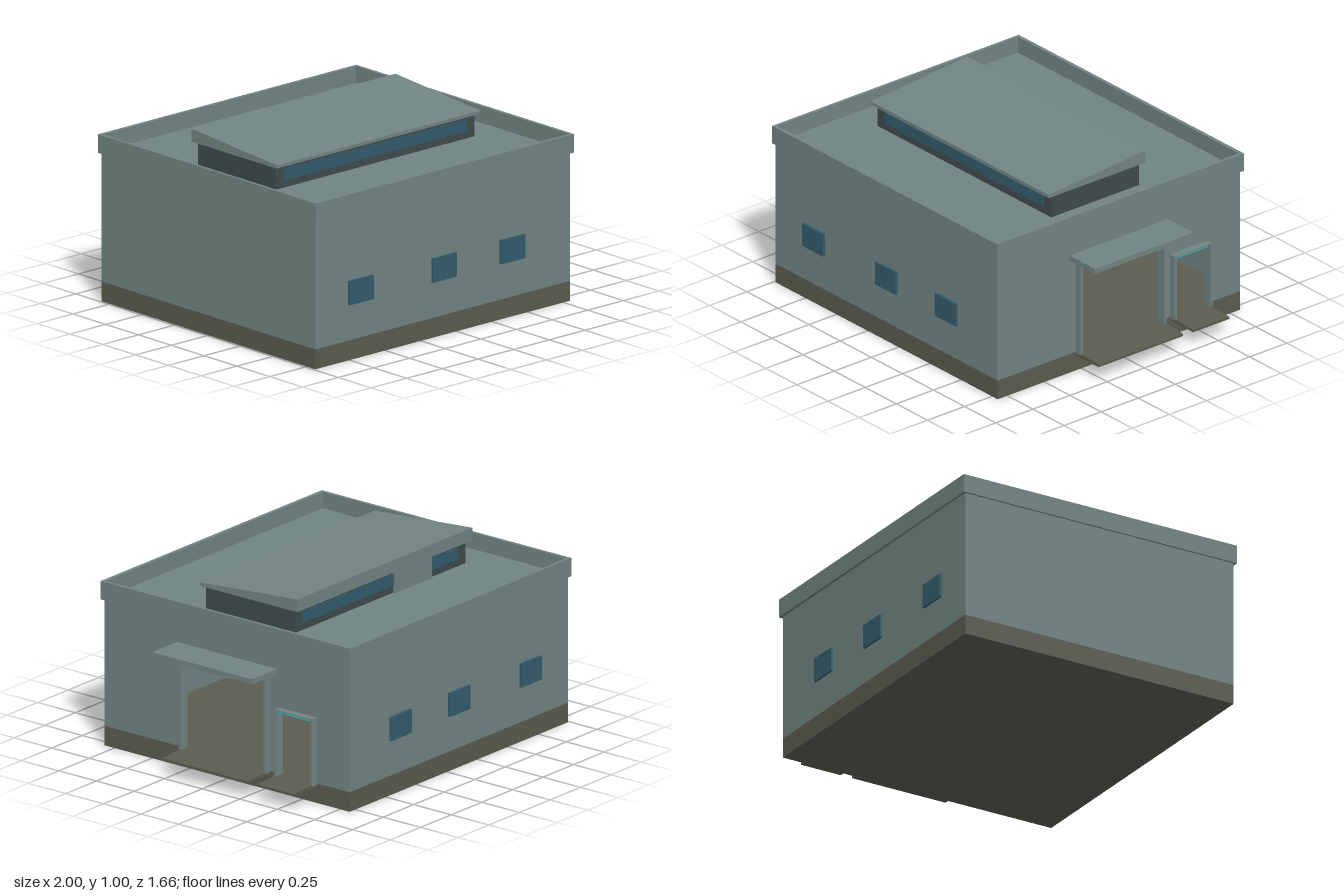
import * as THREE from 'three';

const mat = (name, color, side = THREE.FrontSide) => {
  const m = new THREE.MeshStandardMaterial({ color, side });
  m.name = name;
  return m;
};

export function createModel() {
  const model = new THREE.Group();
  model.name = 'building';
  const wallGrey = mat('wallGrey', 0x718482);
  const baseBrown = mat('baseBrown', 0x5c5b50);
  const darkGrey = mat('darkGrey', 0x3f4b4c);
  const glassBlue = mat('glassBlue', 0x335c6d);
  const lampCyan = mat('lampCyan', 0x3fb2ba);

  const add = (name, geometry, material) => {
    const mesh = new THREE.Mesh(geometry, material);
    mesh.name = name;
    model.add(mesh);
    return mesh;
  };
  // Box given by its minimum and maximum on each axis
  const box = (name, material, x0, x1, y0, y1, z0, z1) => {
    const g = new THREE.BoxGeometry(x1 - x0, y1 - y0, z1 - z0);
    g.translate((x0 + x1) / 2, (y0 + y1) / 2, (z0 + z1) / 2);
    return add(name, g, material);
  };
  const points = (list) => list.map(([a, b]) => new THREE.Vector2(a, b));
  const rect = (a0, a1, b0, b1) => points([[a0, b0], [a1, b0], [a1, b1], [a0, b1]]);
  const extrude = (outline, holes, depth) => {
    const shape = new THREE.Shape(outline);
    holes.forEach((h) => shape.holes.push(new THREE.Path(h)));
    return new THREE.ExtrudeGeometry(shape, { depth, bevelEnabled: false });
  };
  // Outline in (-z, y), thickened along +x from x0
  const sideExtrude = (outline, holes, x0, depth) =>
    extrude(outline, holes, depth).rotateY(Math.PI / 2).translate(x0, 0, 0);

  // Plinth, whose top is also the floor
  const X0 = -0.99, X1 = 0.795, Z = 0.815, FLOOR = 0.107, T = 0.015;
  box('plinth', baseBrown, X0, X1, 0, FLOOR, -Z, Z);

  // Walls
  box('frontWall', wallGrey, X0, X1, FLOOR, 0.8, Z - T, Z);
  box('backWall', wallGrey, X0, X1, FLOOR, 0.8, -Z, -Z + T);
  box('leftWall', wallGrey, X0, X0 + T, FLOOR, 0.8, -Z + T, Z - T);

  // Doorways: inner edges in -z, header underside, overall top
  const doors = [
    { name: 'largeDoor', a0: -0.275, a1: 0.273, head: 0.61, top: 0.628 },
    { name: 'smallDoor', a0: 0.36, a1: 0.583, head: 0.45, top: 0.467 },
  ];
  const wallOutline = [[-Z + T, FLOOR]];
  for (const d of doors) {
    wallOutline.push([d.a0, FLOOR], [d.a0, d.head], [d.a1, d.head], [d.a1, FLOOR]);
  }
  wallOutline.push([Z - T, FLOOR], [Z - T, 0.8], [-Z + T, 0.8]);
  add('doorWall', sideExtrude(points(wallOutline), [], X1 - T, T), wallGrey);

  for (const d of doors) {
    const j = 0.015, y = 0.1;
    // Door surround
    add(d.name + 'Frame', sideExtrude(points([
      [d.a0 - j, y], [d.a0, y], [d.a0, d.head + 0.012], [d.a1, d.head + 0.012],
      [d.a1, y], [d.a1 + j, y], [d.a1 + j, d.top], [d.a0 - j, d.top],
    ]), [], X1, 0.04), wallGrey);
    // Lamp below the header
    box(d.name + 'Lamp', lampCyan, X1 + 0.003, X1 + 0.034, d.head, d.head + 0.012,
      -d.a1 + 0.01, -d.a0 - 0.01);
    // Sloping threshold ramp
    const ramp = extrude(points([[X1, 0.085], [0.975, 0.085], [0.975, 0.097], [X1, 0.108]]),
      [], d.a1 - d.a0 + 0.02);
    ramp.translate(0, 0, -d.a1 - 0.01);
    add(d.name + 'Ramp', ramp, baseBrown);
  }

  // Canopy over the large door
  box('canopy', wallGrey, X1, 1, 0.645, 0.674, -0.332, 0.332);
  box('canopyLamp', lampCyan, X1 + 0.005, 0.972, 0.637, 0.645, -0.295, 0.295);

  // Roof deck and parapet
  box('roofDeck', wallGrey, -0.985, 0.79, 0.795, 0.81, -0.81, 0.81);
  const parapet = extrude(rect(-1, 0.81, -0.83, 0.83), [rect(-0.983, 0.792, -0.81, 0.81)], 0.1);
  parapet.rotateX(-Math.PI / 2).translate(0, 0.8, 0);
  add('parapet', parapet, wallGrey);

  // Raised skylight with a wedge-shaped roof
  box('skylightBody', darkGrey, -0.79, 0.605, 0.81, 0.935, -0.295, 0.295);
  const wedge = sideExtrude(points([[-0.325, 0.935], [0.325, 0.935], [0.325, 1.005], [-0.325, 0.953]]),
    [], -0.81, 1.43);
  add('skylightRoof', wedge, wallGrey);
  box('skylightHatch', wallGrey, -0.5, -0.2, 0.81, 0.935, -0.308, -0.295);

  // Glazing, the same on front and back
  for (const s of [1, -1]) {
    const plate = (name, x0, x1, y0, y1, z, t) =>
      box(name, glassBlue, x0, x1, y0, y1, Math.min(s * z, s * (z + t)), Math.max(s * z, s * (z + t)));
    plate('skylightGlass', -0.73, 0.545, 0.85, 0.912, 0.295, 0.004);
    for (const x of [-0.76, -0.177, 0.303]) plate('window', x, x + 0.168, 0.3, 0.43, Z, 0.013);
  }
  return model;
}
